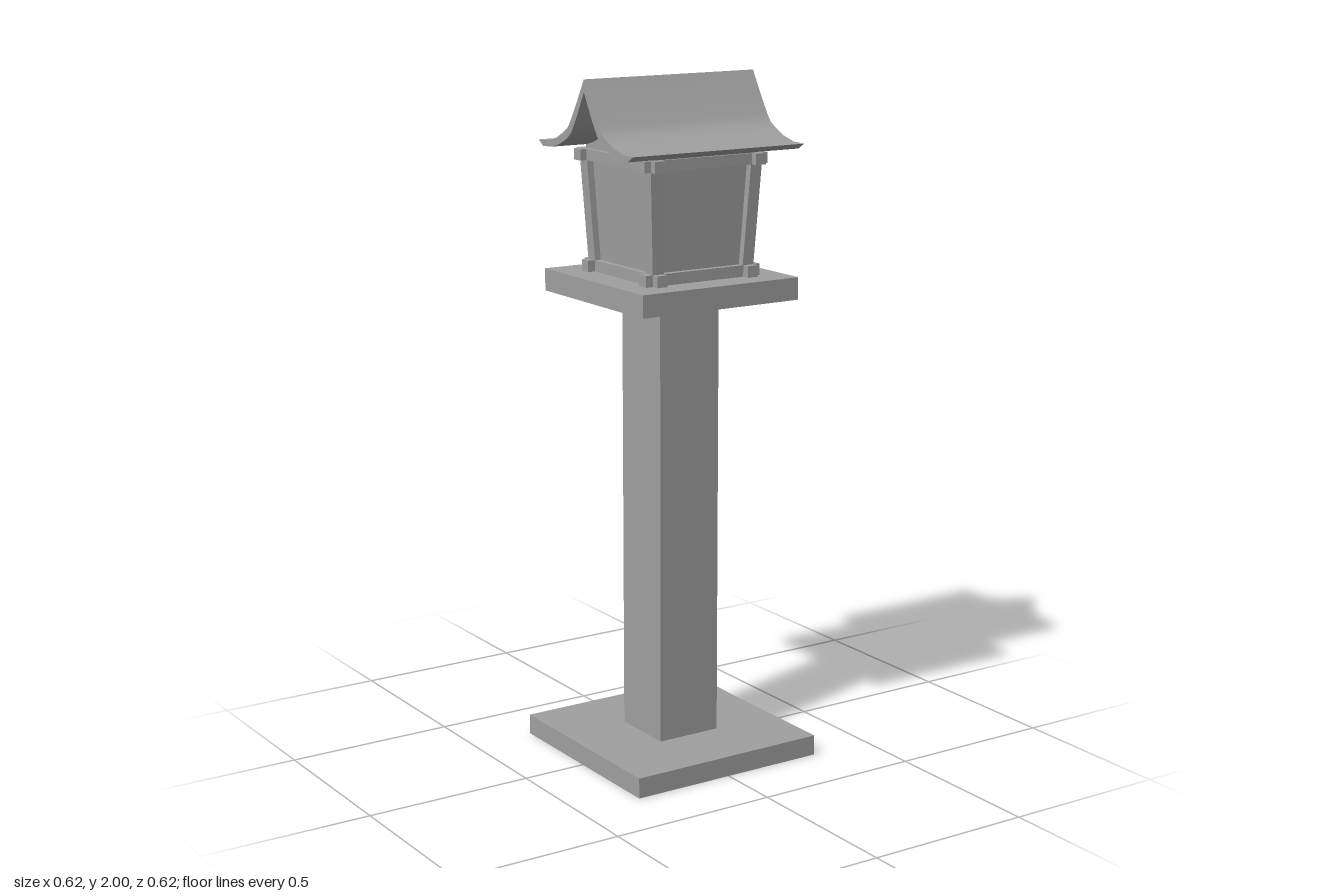
import * as THREE from 'three';
import { toCreasedNormals } from 'three/addons/utils/BufferGeometryUtils.js';

export function createModel() {
  const group = new THREE.Group();
  const stone = new THREE.MeshStandardMaterial({ color: 0xa0a0a0 });
  stone.name = 'grey stone';

  const add = (name, geometry, parent = group) => {
    const mesh = new THREE.Mesh(geometry, stone);
    mesh.name = name;
    parent.add(mesh);
    return mesh;
  };
  // Box given by its centre in x and z and its bottom and top heights
  const box = (w, y0, y1, d, x = 0, z = 0) =>
    new THREE.BoxGeometry(w, y1 - y0, d).translate(x, (y0 + y1) / 2, z);
  // Shape drawn in z and y, extruded along x and centred
  const extrudeX = (points, width) => {
    const shape = new THREE.Shape(points.map(([z, y]) => new THREE.Vector2(z, y)));
    const g = new THREE.ExtrudeGeometry(shape, { depth: width, bevelEnabled: false });
    return toCreasedNormals(g.translate(0, 0, -width / 2).rotateY(Math.PI / 2), 0.6);
  };

  // Pedestal
  add('base', box(0.616, 0, 0.06, 0.616));
  add('column', box(0.2, 0.06, 1.37, 0.2));
  add('shelf', box(0.524, 1.37, 1.435, 0.524));

  // House walls, leaning outward toward the top
  const walls = box(0.3, 1.435, 1.785, 0.3);
  const wp = walls.attributes.position;
  for (let i = 0; i < wp.count; i++) {
    if (wp.getY(i) > 1.6) wp.setXYZ(i, wp.getX(i) * 1.11, wp.getY(i), wp.getZ(i) * 1.11);
  }
  walls.computeVertexNormals();
  add('walls', walls);

  // Leaning corner posts
  const posts = new THREE.Group();
  posts.name = 'cornerPosts';
  group.add(posts);
  for (const sx of [-1, 1]) for (const sz of [-1, 1]) {
    const g = box(0.037, 1.45, 1.765, 0.037, sx * 0.151, sz * 0.151);
    const p = g.attributes.position;
    for (let i = 0; i < p.count; i++) {
      if (p.getY(i) > 1.6) p.setXYZ(i, p.getX(i) + sx * 0.017, p.getY(i), p.getZ(i) + sz * 0.017);
    }
    g.computeVertexNormals();
    add('cornerPost', g, posts);
  }

  // Crossing rails whose ends stick out at the corners
  const rails = new THREE.Group();
  rails.name = 'rails';
  group.add(rails);
  for (const [name, half, at, y0, y1] of [
    ['bottomRail', 0.193, 0.153, 1.435, 1.468],
    ['topRail', 0.206, 0.169, 1.755, 1.787],
  ]) {
    for (const s of [-1, 1]) {
      add(name, box(half * 2, y0, y1, 0.034, 0, s * at), rails);
      add(name, box(0.034, y0, y1, half * 2, s * at, 0), rails);
    }
  }

  // Curved roof slab: half profiles from ridge to eave
  const outer = [[0, 2], [0.045, 1.923], [0.075, 1.877], [0.09, 1.858], [0.115, 1.843],
    [0.15, 1.826], [0.2, 1.813], [0.25, 1.811]];
  const inner = [[0, 1.965], [0.04, 1.892], [0.068, 1.849], [0.085, 1.834], [0.11, 1.82],
    [0.145, 1.805], [0.18, 1.797], [0.225, 1.795]];
  const mirror = (pts) => pts.slice(1).map(([z, y]) => [-z, y]);
  add('roof', extrudeX([
    ...outer, ...[...inner].reverse(), ...mirror(inner), ...mirror(outer).reverse(),
  ], 0.57));

  // Gable block filling the space under the roof
  const under = inner.slice(0, 7);
  add('gable', extrudeX([
    ...under, [0.175, 1.77], [-0.175, 1.77], ...mirror(under).reverse(),
  ], 0.34));

  return group;
}
